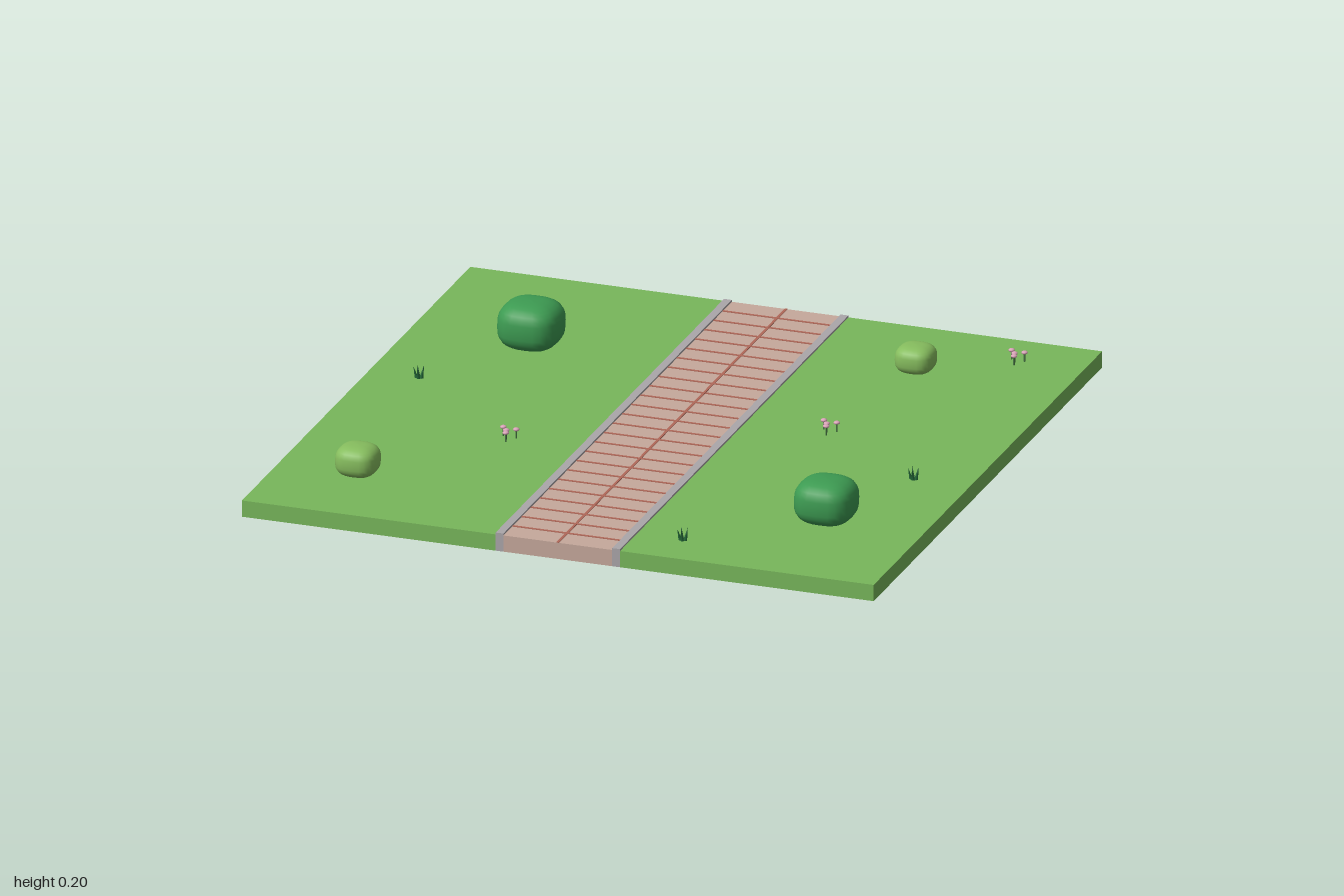
import * as THREE from 'three';

const paint = (name, color) => {
  const m = new THREE.MeshStandardMaterial({ color });
  m.name = name;
  return m;
};

export function createModel() {
  const mat = {
    grass: paint('grass green', 0x78b75b),
    paving: paint('paving pink', 0xc6a99c),
    joint: paint('joint red', 0xb06859),
    curb: paint('curb grey', 0xaba6aa),
    darkBush: paint('dark leaf', 0x3d9b52),
    lightBush: paint('light leaf', 0x86bd5e),
    blade: paint('blade green', 0x256b3a),
    stem: paint('stem green', 0x4a7a45),
    flower: paint('flower pink', 0xd9a3b8),
  };
  const root = new THREE.Group();
  root.name = 'parkPathTile';
  const TOP = 0.052;

  const add = (parent, name, geo, material, x, y, z) => {
    const mesh = new THREE.Mesh(geo, material);
    mesh.name = name;
    mesh.position.set(x, y, z);
    parent.add(mesh);
    return mesh;
  };
  const box = (name, material, w, h, d, x, y, z) =>
    add(root, name, new THREE.BoxGeometry(w, h, d), material, x, y, z);

  // Lawns and curbs on both sides of the path
  for (const s of [-1, 1]) {
    box('lawn', mat.grass, 0.803, TOP, 2, s * 0.5985, TOP / 2, 0);
    box('curb', mat.curb, 0.025, 0.058, 2, s * 0.1845, 0.029, 0);
  }

  // Paved path with thin joints
  box('path', mat.paving, 0.344, TOP, 2, 0, TOP / 2, 0);
  box('lengthJoint', mat.joint, 0.008, 0.002, 2, 0, TOP + 0.001, 0);
  for (let i = 1; i < 25; i++) {
    box('crossJoint', mat.joint, 0.344, 0.002, 0.008, 0, TOP + 0.0008, -1 + i * 0.08);
  }

  // Clipped bushes: spheres pushed out towards a rounded cube
  const bush = (name, material, x, z, width, top) => {
    const geo = new THREE.SphereGeometry(1, 24, 16);
    const p = geo.attributes.position;
    const puff = v => Math.sign(v) * Math.pow(Math.abs(v), 0.72);
    for (let i = 0; i < p.count; i++) {
      p.setXYZ(i, puff(p.getX(i)), puff(p.getY(i)), puff(p.getZ(i)));
    }
    const h = (top - TOP + 0.004) / 2;
    geo.scale(width / 2, h, width / 2);
    geo.computeVertexNormals();
    add(root, name, geo, material, x, top - h, z);
  };
  bush('largeBush', mat.darkBush, -0.615, -0.47, 0.194, 0.196);
  bush('largeBush', mat.darkBush, 0.69, 0.555, 0.185, 0.187);
  bush('smallBush', mat.lightBush, -0.75, 0.675, 0.13, 0.145);
  bush('smallBush', mat.lightBush, 0.53, -0.67, 0.12, 0.135);

  // Grass tufts: five blades leaning outwards
  const bladeGeo = new THREE.ConeGeometry(0.006, 0.038, 4).translate(0, 0.019, 0);
  for (const [x, z] of [[-0.84, -0.11], [0.823, 0.158], [0.343, 0.852]]) {
    const tuft = new THREE.Group();
    tuft.name = 'grassTuft';
    tuft.position.set(x, TOP, z);
    for (let i = 0; i < 5; i++) {
      const a = (i / 5) * Math.PI * 2 + 0.3;
      const b = add(tuft, 'blade', bladeGeo, mat.blade, Math.cos(a) * 0.008, -0.001, Math.sin(a) * 0.008);
      b.rotation.set(Math.sin(a) * 0.25, 0, -Math.cos(a) * 0.25);
    }
    root.add(tuft);
  }

  // Flower clumps: four stems with round heads
  const stemGeo = new THREE.CylinderGeometry(0.0025, 0.0025, 0.028, 6);
  const headGeo = new THREE.SphereGeometry(0.01, 10, 6).scale(1, 0.55, 1);
  const spots = [[-0.02, -0.021], [0.023, -0.015], [-0.003, 0.001], [0.003, 0.022]];
  for (const [x, z] of [[-0.425, 0.267], [0.454, -0.108], [0.788, -0.829]]) {
    const clump = new THREE.Group();
    clump.name = 'flowerClump';
    clump.position.set(x, TOP, z);
    for (const [dx, dz] of spots) {
      add(clump, 'stem', stemGeo, mat.stem, dx, 0.014, dz);
      add(clump, 'flowerHead', headGeo, mat.flower, dx, 0.029, dz);
    }
    root.add(clump);
  }
  return root;
}
